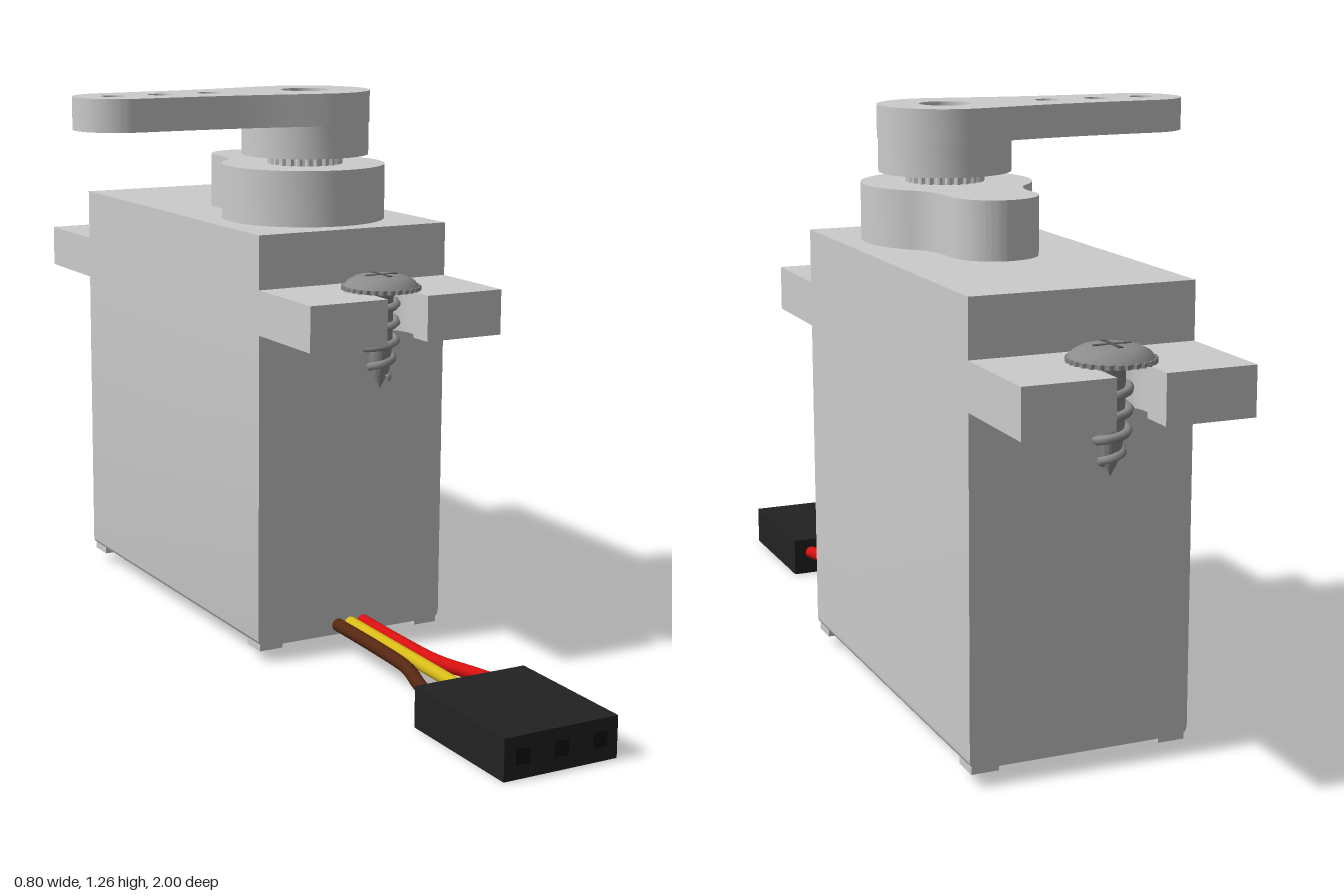
import * as THREE from 'three';
import { toCreasedNormals } from 'three/addons/utils/BufferGeometryUtils.js';

const mat = (name, color) => {
  const m = new THREE.MeshStandardMaterial({ color });
  m.name = name;
  return m;
};

export function createModel() {
  const plastic = mat('light grey plastic', 0xcccccc);
  const steel = mat('screw steel', 0x8c8c8c);
  const recess = mat('dark steel', 0x555555);
  const black = mat('connector black', 0x222222);
  const socket = mat('socket black', 0x101010);
  const red = mat('red wire', 0xd81010);
  const yellow = mat('yellow wire', 0xd8bc18);
  const brown = mat('brown wire', 0x562812);

  const CX = 0.1625; // centre line of the body
  const root = new THREE.Group();
  root.name = 'servoMotor';

  const add = (name, geo, material, parent = root) => {
    const m = new THREE.Mesh(geo, material);
    m.name = name;
    parent.add(m);
    return m;
  };
  const box = (name, x0, x1, y0, y1, z0, z1, material, parent) =>
    add(name, new THREE.BoxGeometry(x1 - x0, y1 - y0, z1 - z0), material, parent)
      .position.set((x0 + x1) / 2, (y0 + y1) / 2, (z0 + z1) / 2);
  // Extrudes a plan (shape y = -z) upwards from y0 to y1
  const slab = (shape, y0, y1) => {
    const g = new THREE.ExtrudeGeometry(shape, { depth: y1 - y0, bevelEnabled: false, curveSegments: 24 });
    g.rotateX(-Math.PI / 2).translate(0, y0, 0);
    return toCreasedNormals(g, 0.6);
  };
  const hole = (shape, x, y, r) =>
    shape.holes.push(new THREE.Path().absarc(x, y, r, 0, Math.PI * 2, true));
  const disc = (r) => new THREE.Shape().absarc(0, 0, r, 0, Math.PI * 2, false);
  const toothed = (teeth, r0, r1) => {
    const pts = [];
    for (let i = 0; i < teeth * 4; i++) {
      const a = (i / (teeth * 4)) * Math.PI * 2;
      const r = i % 4 < 2 ? r1 : r0;
      pts.push(new THREE.Vector2(Math.cos(a) * r, Math.sin(a) * r));
    }
    return new THREE.Shape(pts);
  };

  // Case: upper block, lower block with eased bottom edges, corner feet
  box('caseTop', -0.075, 0.4, 0.75, 0.97, -0.757, 0.18, plastic);
  const r = 0.02, x0 = -0.075, x1 = 0.4, yb = 0.037;
  const s = new THREE.Shape();
  s.moveTo(x0 + r, yb);
  s.lineTo(x1 - r, yb);
  s.quadraticCurveTo(x1, yb, x1, yb + r);
  s.lineTo(x1, 0.75);
  s.lineTo(x0, 0.75);
  s.lineTo(x0, yb + r);
  s.quadraticCurveTo(x0, yb, x0 + r, yb);
  const lower = new THREE.ExtrudeGeometry(s, { depth: 0.937, bevelEnabled: false });
  add('caseBody', toCreasedNormals(lower.translate(0, 0, -0.757), 0.6), plastic);
  for (const [fx0, fx1] of [[-0.07, -0.012], [0.337, 0.395]])
    for (const [fz0, fz1] of [[0.115, 0.176], [-0.753, -0.69]])
      box('foot', fx0, fx1, 0.026, 0.04, fz0, fz1, plastic);

  // Mounting ears with keyhole slots; local +y of the plan points outwards
  const ear = (len, pos) => {
    const w = 0.2375, sw = 0.05, hr = 0.072;
    const a = Math.acos(sw / hr);
    const p = new THREE.Shape();
    p.moveTo(-w, 0);
    p.lineTo(w, 0);
    p.lineTo(w, len);
    p.lineTo(sw, len);
    p.lineTo(sw, pos + Math.sin(a) * hr);
    p.absarc(0, pos, hr, a, Math.PI - a, true);
    p.lineTo(-sw, len);
    p.lineTo(-w, len);
    p.closePath();
    return slab(p, 0.75, 0.85);
  };
  add('rearEar', ear(0.243, 0.118), plastic).position.set(CX, 0, -0.757);
  const front = add('frontEar', ear(0.23, 0.122), plastic);
  front.position.set(CX, 0, 0.18);
  front.rotation.y = Math.PI;

  // Screws: domed head, knurled rim, tapered shank and helical thread
  class Thread extends THREE.Curve {
    getPoint(t, v = new THREE.Vector3()) {
      const a = t * Math.PI * 2 * 4.2, rad = 0.034 - 0.018 * Math.max(0, t - 0.55) / 0.45;
      return v.set(Math.cos(a) * rad, 0.825 - 0.17 * t, Math.sin(a) * rad);
    }
  }
  const profile = (pts) => new THREE.LatheGeometry(pts.map(([a, b]) => new THREE.Vector2(a, b)), 40);
  const screw = (z) => {
    const g = new THREE.Group();
    g.name = 'screw';
    g.position.set(CX, 0, z);
    root.add(g);
    add('screwRim', slab(toothed(30, 0.082, 0.087), 0.852, 0.861), steel, g);
    add('screwHead', toCreasedNormals(profile([[0.082, 0.86], [0.074, 0.871], [0.058, 0.88],
      [0.036, 0.884], [0, 0.885]]), 0.7), steel, g);
    add('screwShank', toCreasedNormals(profile([[0, 0.632], [0.02, 0.672], [0.026, 0.73],
      [0.027, 0.835], [0.04, 0.853]]), 0.7), steel, g);
    add('screwThread', new THREE.TubeGeometry(new Thread(), 120, 0.009, 6), steel, g);
    box('crossSlot', -0.038, 0.038, 0.88, 0.8855, -0.005, 0.005, recess, g);
    box('crossSlot', -0.005, 0.005, 0.88, 0.8855, -0.038, 0.038, recess, g);
  };
  screw(0.298);
  screw(-0.875);

  // Gear housing: large round boss with a smaller one blended in behind
  const b = new THREE.Shape();
  const c45 = 0.187 * Math.SQRT1_2;
  b.absarc(0, 0, 0.187, Math.PI * 0.75, Math.PI * 2.25, false);
  b.quadraticCurveTo(0.095, 0.17, 0.095, 0.24);
  b.absarc(0, 0.26, 0.095, 0, Math.PI, false);
  b.lineTo(-0.095, 0.24);
  b.quadraticCurveTo(-0.095, 0.17, -c45, c45);
  add('gearHousing', slab(b, 0.968, 1.095), plastic).position.set(CX, 0, -0.055);

  // Output spline and horn
  const output = new THREE.Group();
  output.name = 'output';
  output.position.set(0.164, 0, -0.05);
  root.add(output);
  add('splineShaft', slab(toothed(25, 0.08, 0.086), 1.09, 1.125), plastic, output);
  const hub = disc(0.145);
  hole(hub, 0, 0, 0.017);
  add('hornHub', slab(hub, 1.117, 1.19), plastic, output);
  const floor = disc(0.0555);
  hole(floor, 0, 0, 0.017);
  add('hornRecessFloor', slab(floor, 1.19, 1.235), plastic, output);
  const horn = new THREE.Shape();
  const ha = 1.78, hx = Math.cos(ha) * 0.147, hy = Math.sin(ha) * 0.147;
  horn.absarc(0, 0, 0.147, -ha, ha, false);
  horn.bezierCurveTo(hx - 0.11, hy - 0.018, -0.19, 0.1, -0.465, 0.1);
  horn.absarc(-0.465, 0, 0.1, Math.PI / 2, Math.PI * 1.5, false);
  horn.bezierCurveTo(-0.19, -0.1, hx - 0.11, -hy + 0.018, hx, -hy);
  hole(horn, 0, 0, 0.055);
  for (const x of [-0.476, -0.364, -0.244]) hole(horn, x, 0, 0.027);
  add('hornArm', slab(horn, 1.19, 1.262), plastic, output);

  // Three wires fanning out to the connector
  for (const [name, m, side] of [['brownWire', brown, -1], ['yellowWire', yellow, 0], ['redWire', red, 1]]) {
    const path = new THREE.CatmullRomCurve3([[0.033, 0.14], [0.033, 0.36], [0.04, 0.49], [0.07, 0.59], [0.098, 0.69]]
      .map(([x, z]) => new THREE.Vector3(CX + side * x, 0.06 - 0.01 * (z - 0.14), z)));
    add(name, new THREE.TubeGeometry(path, 32, 0.015, 12), m);
  }

  // Connector with three square sockets
  box('connector', 0.03, 0.3, 0, 0.09, 0.673, 0.998, black);
  for (const x of [0.073, 0.165, 0.257])
    box('socket', x - 0.017, x + 0.017, 0.03, 0.064, 0.993, 1, socket);

  return root;
}
